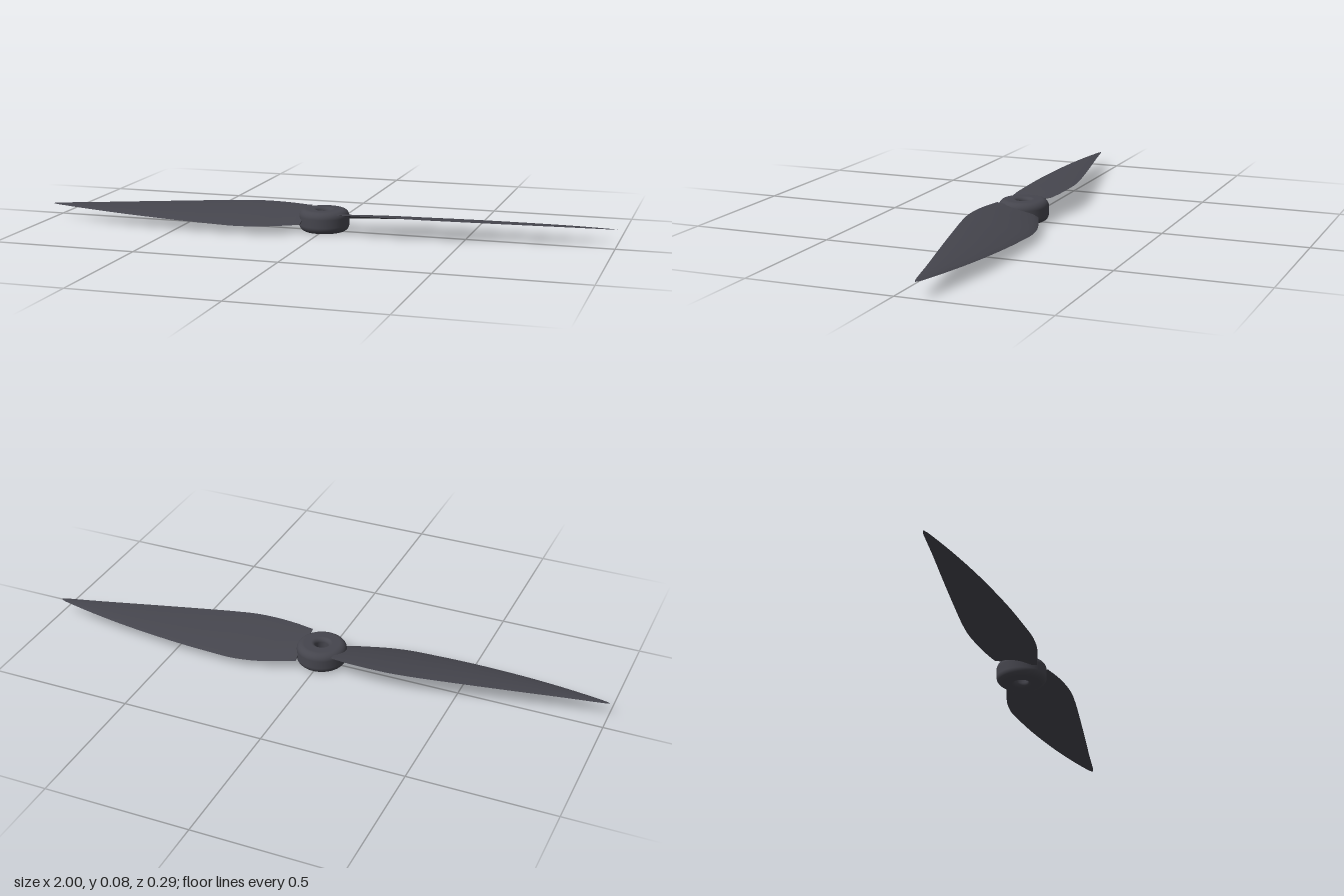
import * as THREE from 'three';
import { toCreasedNormals } from 'three/addons/utils/BufferGeometryUtils.js';

const lerp = THREE.MathUtils.lerp;

// Blade planform: x, leading-edge z, trailing-edge z
const STATIONS = [
  [0.065, -0.08, 0.074], [0.13, -0.106, 0.083], [0.2, -0.13, 0.087], [0.28, -0.144, 0.085],
  [0.36, -0.145, 0.073], [0.5, -0.142, 0.044], [0.7, -0.126, 0.0], [0.85, -0.105, -0.034],
  [0.95, -0.086, -0.055], [0.985, -0.078, -0.063], [1.0, -0.0715, -0.0695],
];

// Twisted, cambered aerofoil lofted from root to tip
function bladeGeometry() {
  const rings = new THREE.CatmullRomCurve3(STATIONS.map(s => new THREE.Vector3(...s))).getPoints(50);
  const half = 10, count = half * 2;
  const pos = [], index = [];
  for (const { x, y: lead, z: trail } of rings) {
    const t = (x - 0.065) / 0.935;
    const chord = trail - lead;
    const slope = lerp(0.27, 0.14, Math.sqrt(t));
    const thick = Math.min(lerp(0.016, 0.006, t), chord * 0.12);
    for (let j = 0; j < count; j++) {
      const upper = j <= half;
      const s = (1 - Math.cos(Math.PI * (upper ? j : count - j) / half)) / 2;
      const z = lerp(trail, lead, s);
      const foil = 1.75 * Math.pow(s, 0.9) * Math.sqrt(1 - s) * thick / 1.35;
      const camber = 0.1 * chord * s * (1 - s);
      const y = 0.051 + slope * chord * (0.5 - s) + camber + (upper ? 0.5 : -0.5) * foil;
      pos.push(x, y, z);
    }
  }
  for (let i = 0; i < rings.length - 1; i++) {
    for (let j = 0; j < count; j++) {
      const a = i * count + j, c = i * count + (j + 1) % count;
      index.push(a, a + count, c, a + count, c + count, c);
    }
  }
  // Root and tip caps
  const last = (rings.length - 1) * count;
  for (let j = 1; j < count - 1; j++) {
    index.push(0, j, j + 1, last, last + j + 1, last + j);
  }
  const geo = new THREE.BufferGeometry();
  geo.setAttribute('position', new THREE.Float32BufferAttribute(pos, 3));
  geo.setIndex(index);
  return toCreasedNormals(geo, 0.7);
}

// Rounded ring with a centre bore
function hubGeometry() {
  const inner = 0.023, outer = 0.087, h = 0.076, ri = 0.014, ro = 0.024;
  const p = new THREE.Shape();
  p.moveTo(inner, h / 2);
  p.lineTo(inner, ri);
  p.absarc(inner + ri, ri, ri, Math.PI, Math.PI * 1.5, false);
  p.absarc(outer - ro, ro, ro, -Math.PI / 2, 0, false);
  p.absarc(outer - ro, h - ro, ro, 0, Math.PI / 2, false);
  p.absarc(inner + ri, h - ri, ri, Math.PI / 2, Math.PI, false);
  p.lineTo(inner, h / 2);
  return new THREE.LatheGeometry(p.getPoints(8), 64);
}

export function createModel() {
  const group = new THREE.Group();
  group.name = 'propeller';
  const plastic = new THREE.MeshStandardMaterial({ color: 0x45454d });
  plastic.name = 'dark grey plastic';

  const hub = new THREE.Mesh(hubGeometry(), plastic);
  hub.name = 'hub';
  group.add(hub);

  // Two blades, half a turn apart
  const geo = bladeGeometry();
  ['leftBlade', 'rightBlade'].forEach((name, i) => {
    const blade = new THREE.Mesh(geo, plastic);
    blade.name = name;
    blade.rotation.y = i * Math.PI;
    group.add(blade);
  });
  return group;
}
